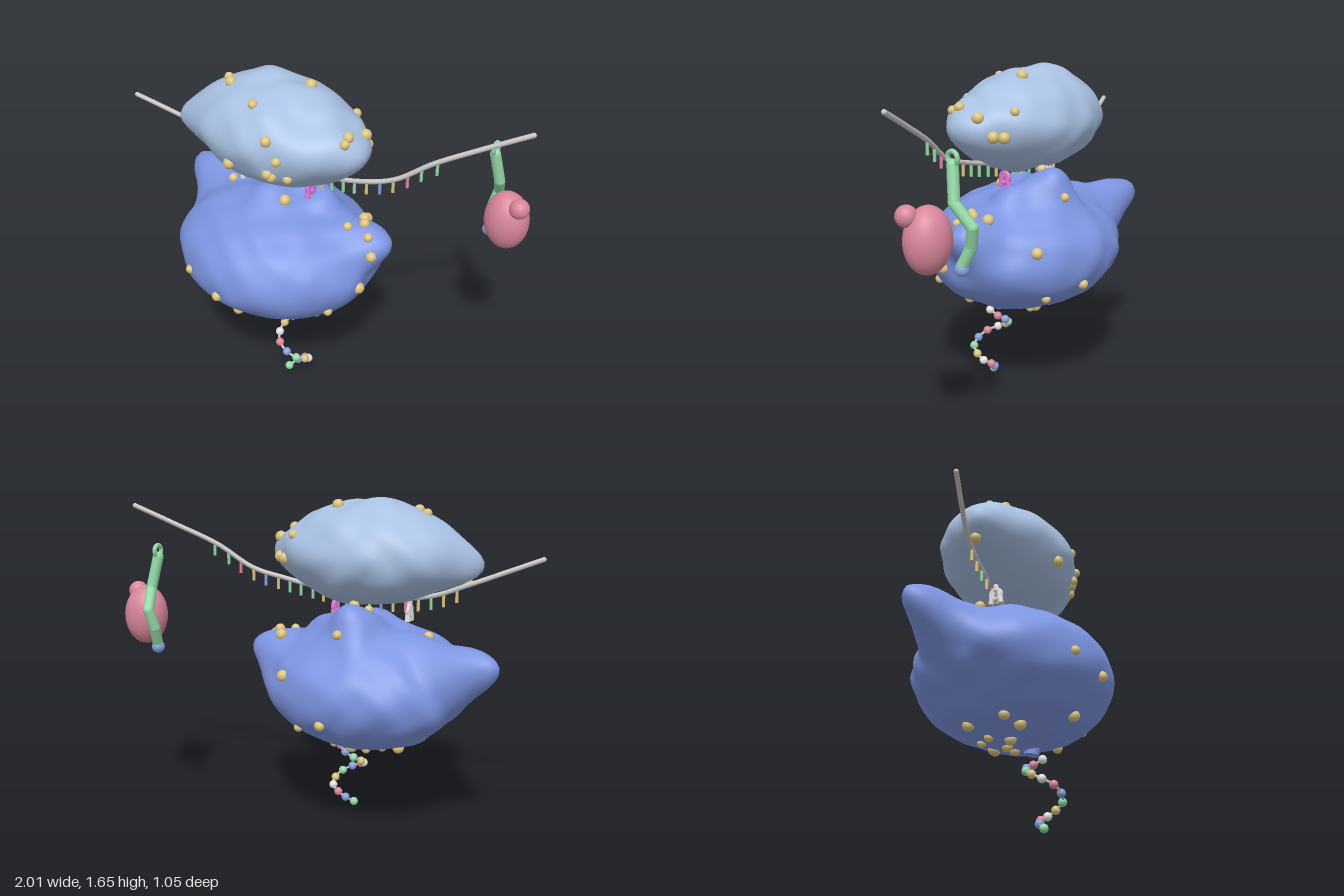
import * as THREE from 'three';
import { mergeVertices } from 'three/addons/utils/BufferGeometryUtils.js';

const mat = (name, color) => Object.assign(new THREE.MeshStandardMaterial({ color }), { name });
const V = (a) => new THREE.Vector3(a[0], a[1], a[2]);

// Lumpy body: a soft ellipsoid pulled out to (or pushed in to) each bump [x, y, z, angular width]
function makeBlob(center, radii, bumps) {
  const c = V(center);
  const pulls = [];
  const radius = (d) => {
    let s = 0;
    ['x', 'y', 'z'].forEach((k, i) => { s += Math.pow(Math.abs(d[k]) / radii[i], 1.9); });
    let r = Math.pow(s, -1 / 1.9);
    for (const p of pulls) {
      const a = d.angleTo(p.dir) / p.width;
      r += p.amount * Math.exp(-a * a);
    }
    return r;
  };
  for (const b of bumps) {
    const dir = V(b).sub(c);
    const length = dir.length();
    dir.normalize();
    pulls.push({ dir, width: b[3], amount: length - radius(dir) });
  }
  // Fine ripples over the skin
  const ripple = (p) =>
    0.006 * Math.sin(15 * p.x + 3 * Math.sin(9 * p.z)) * Math.sin(23 * p.y + 2 * Math.sin(8 * p.x)) +
    0.004 * Math.sin(25 * p.z + 2 * Math.sin(11 * p.y)) * Math.cos(24 * p.x - 9 * p.y);
  const surface = (dir) => {
    const p = dir.clone().multiplyScalar(radius(dir));
    return p.addScaledVector(dir, ripple(p)).add(c);
  };
  let geo = new THREE.SphereGeometry(1, 112, 72);
  geo.deleteAttribute('uv');
  geo.deleteAttribute('normal');
  geo = mergeVertices(geo, 1e-5);
  const pos = geo.attributes.position;
  for (let i = 0; i < pos.count; i++) {
    const p = surface(new THREE.Vector3().fromBufferAttribute(pos, i).normalize());
    pos.setXYZ(i, p.x, p.y, p.z);
  }
  geo.computeVertexNormals();
  return { geo, project: (a) => surface(V(a).sub(c).normalize()) };
}

export function createModel() {
  const root = new THREE.Group();
  root.name = 'ribosome';
  const blue = mat('large body blue', 0x7d95e2);
  const pale = mat('small body pale blue', 0xa8c0e2);
  const gold = mat('protein gold', 0xdcc47c);
  const grey = mat('strand grey', 0xc8c6c4);
  const green = mat('green', 0x92d8a6);
  const pink = mat('pink', 0xd8869a);
  const magenta = mat('magenta', 0xe07ada);
  const white = mat('off white', 0xe2e0de);
  const bead = mat('bead blue', 0x84a0dc);

  const add = (name, geo, material, at = [0, 0, 0], parent = root) => {
    const m = new THREE.Mesh(geo, material);
    m.name = name;
    m.position.set(...at);
    parent.add(m);
    return m;
  };
  const group = (name) => {
    const g = new THREE.Group();
    g.name = name;
    root.add(g);
    return g;
  };
  const ball = (r) => new THREE.SphereGeometry(r, 16, 12);
  const rod = (a, b, r, name, material, parent) => {
    const d = V(b).sub(V(a));
    const m = add(name, new THREE.CylinderGeometry(r, r, d.length(), 12), material, [0, 0, 0], parent);
    m.position.copy(V(a)).addScaledVector(d, 0.5);
    m.quaternion.setFromUnitVectors(new THREE.Vector3(0, 1, 0), d.normalize());
  };

  // Two main bodies
  const large = makeBlob([-0.18, 0.72, 0.03], [0.54, 0.32, 0.48], [
    [-0.86, 0.91, -0.16, 0.2], [0.42, 0.91, -0.08, 0.22],
    [-0.16, 1.145, -0.2, 0.32], [-0.2, 1.09, 0.08, 0.3], [-0.74, 0.98, -0.15, 0.16],
    [-0.5, 1.0, -0.1, 0.25], [0.25, 0.97, -0.06, 0.22], [0.05, 1.07, -0.08, 0.22],
    [-0.59, 0.575, 0.03, 0.3], [-0.705, 0.7, 0.03, 0.22], [0.36, 0.74, -0.02, 0.2],
  ]);
  add('largeSubunit', large.geo, blue);
  const small = makeBlob([-0.18, 1.38, 0.01], [0.47, 0.25, 0.32], [
    [-0.715, 1.31, 0.1, 0.22], [0.335, 1.39, 0.03, 0.25], [-0.27, 1.635, -0.05, 0.4],
    [-0.03, 1.13, 0, 0.35], [-0.52, 1.55, 0.01, 0.3], [-0.52, 1.21, 0.02, 0.25],
    [0.15, 1.2, 0.02, 0.25], [0.2, 1.5, 0, 0.2], [0.02, 1.54, 0.14, 0.25], [-0.32, 1.635, -0.1, 0.25],
  ]);
  add('smallSubunit', small.geo, pale);

  // Proteins seated on the skins
  const proteins = (name, body, spots) => {
    const g = group(name);
    spots.forEach((s, i) => add('protein', ball(0.023 + 0.003 * (i % 3)), gold, body.project(s).toArray(), g));
  };
  proteins('largeProteins', large, [
    [0.25, 0.98, 0.01], [0.28, 0.97, -0.05], [0.27, 0.97, -0.12], [0.34, 0.94, 0], [0.37, 0.86, 0.035],
    [0.35, 0.7, 0.09], [0.26, 0.59, 0.215], [-0.21, 0.65, 0.5], [-0.2, 0.49, 0.34], [-0.41, 0.7, 0.43],
    [-0.5, 1, 0], [-0.08, 1.06, 0.1], [-0.22, 1.12, -0.1], [-0.15, 1.13, -0.11], [0.14, 0.81, -0.33],
    [-0.13, 1.05, -0.3], [-0.42, 0.46, 0.1], [-0.34, 0.43, 0.14], [-0.28, 0.41, -0.05], [-0.18, 0.4, 0],
    [-0.13, 0.4, -0.1], [-0.04, 0.41, -0.14], [0.13, 0.47, 0.13], [-0.25, 0.41, 0.05],
    [0.05, 0.56, -0.31], [-0.11, 0.62, -0.4], [-0.38, 0.45, -0.1], [-0.22, 0.41, -0.12], [-0.1, 0.41, 0.0],
  ]);
  proteins('smallProteins', small, [
    [-0.48, 1.59, 0.03], [-0.41, 1.595, 0.09], [-0.05, 1.6, -0.065], [-0.18, 1.56, 0.185],
    [-0.05, 1.46, 0.27], [0.25, 1.44, -0.065], [0.03, 1.38, 0.31], [0.24, 1.475, 0.06],
    [0.25, 1.355, -0.14], [0.255, 1.46, 0.1], [-0.01, 1.28, 0.3], [-0.26, 1.285, 0.33],
    [0.07, 1.27, 0.27], [-0.67, 1.255, 0.06], [0.22, 1.35, -0.18], [0.14, 1.47, -0.185], [-0.02, 1.295, 0.32],
  ]);

  // Messenger strand with hanging bases
  const strand = new THREE.CatmullRomCurve3([
    [-0.995, 1.377, 0.134], [-0.84, 1.317, 0.08], [-0.68, 1.255, 0.03], [-0.5, 1.19, 0.01], [-0.3, 1.165, 0],
    [0, 1.18, 0], [0.28, 1.228, -0.01], [0.44, 1.275, -0.045], [0.61, 1.39, -0.1],
    [0.8, 1.488, -0.178], [0.992, 1.582, -0.255],
  ].map(V));
  const messenger = group('messengerStrand');
  add('strand', new THREE.TubeGeometry(strand, 120, 0.012, 10), grey, [0, 0, 0], messenger);
  for (const t of [0, 1]) add('strandEnd', ball(0.012), grey, strand.getPoint(t).toArray(), messenger);
  const samples = strand.getPoints(400);
  const baseColours = { o: gold, g: green, b: bead, p: pink };
  [...'oogopobgogoogggobopgg'.replace(' ', '')].forEach((k, i) => {
    const p = samples.find((q) => q.x >= -0.62 + i * 0.062);
    add('base', new THREE.CylinderGeometry(0.008, 0.008, 0.068, 8), baseColours[k], [p.x, p.y - 0.032, p.z], messenger);
  });

  // Transfer molecules between the bodies
  [[0, 0, magenta], [-0.38, 0.03, white]].forEach(([x, z, m]) => {
    const g = group('boundTransferMolecule');
    for (const s of [-1, 1]) rod([x, 1.12, z + 0.016 * s], [x, 1.055, z + 0.026 * s], 0.014, 'arm', m, g);
    add('loop', new THREE.TorusGeometry(0.026, 0.012, 8, 20), m, [x, 1.105, z], g).rotation.y = Math.PI / 2;
    rod([x, 1.125, z], [x, 1.17, z], 0.014, 'stem', m, g);
  });

  // Free transfer molecule: jointed arm, end loop and blue cargo
  const transfer = group('freeTransferMolecule');
  const joints = [[0.765, 1.355, -0.4], [0.79, 1.205, -0.43], [0.762, 1.11, -0.505], [0.745, 1.02, -0.482], [0.76, 0.935, -0.443]];
  joints.forEach((p, i) => {
    add('joint', ball(0.026), green, p, transfer);
    if (i) rod(joints[i - 1], p, 0.026, 'arm', green, transfer);
  });
  add('endLoop', new THREE.TorusGeometry(0.027, 0.011, 10, 24), green, [0.765, 1.385, -0.4], transfer).rotation.y = Math.PI / 2;
  add('cargo', ball(0.032), bead, [0.76, 0.917, -0.44], transfer);

  // Escort factor beside it
  const factor = group('escortFactor');
  const main = add('factorBody', new THREE.SphereGeometry(1, 32, 24), pink, [0.877, 1.055, -0.362], factor);
  main.scale.set(0.108, 0.147, 0.1);
  main.rotation.z = 0.06;
  add('factorKnob', new THREE.SphereGeometry(0.048, 20, 16), pink, [0.95, 1.163, -0.317], factor);

  // Exit tunnel and the growing bead chain
  add('exitTunnel', new THREE.CylinderGeometry(0.037, 0.037, 0.09, 20), blue, [-0.055, 0.43, 0.075]).rotation.x = 0.15;
  const chain = [
    [0.005, 0.38, 0.1], [-0.005, 0.355, 0.055], [-0.04, 0.33, 0.035], [-0.08, 0.3, 0.05],
    [-0.105, 0.272, 0.09], [-0.1, 0.245, 0.14], [-0.065, 0.22, 0.185], [-0.01, 0.192, 0.2],
    [0.04, 0.165, 0.185], [0.063, 0.138, 0.14], [0.058, 0.11, 0.1], [0.02, 0.084, 0.08],
    [-0.018, 0.055, 0.09], [-0.05, 0.022, 0.127],
  ];
  const peptide = group('beadChain');
  chain.forEach((p, i) => add('bead', ball(0.022), [white, pink, bead, green, gold][i % 5], p, peptide));
  add('chainLink', new THREE.TubeGeometry(new THREE.CatmullRomCurve3(chain.map(V)), 60, 0.007, 6), grey, [0, 0, 0], peptide);

  return root;
}
